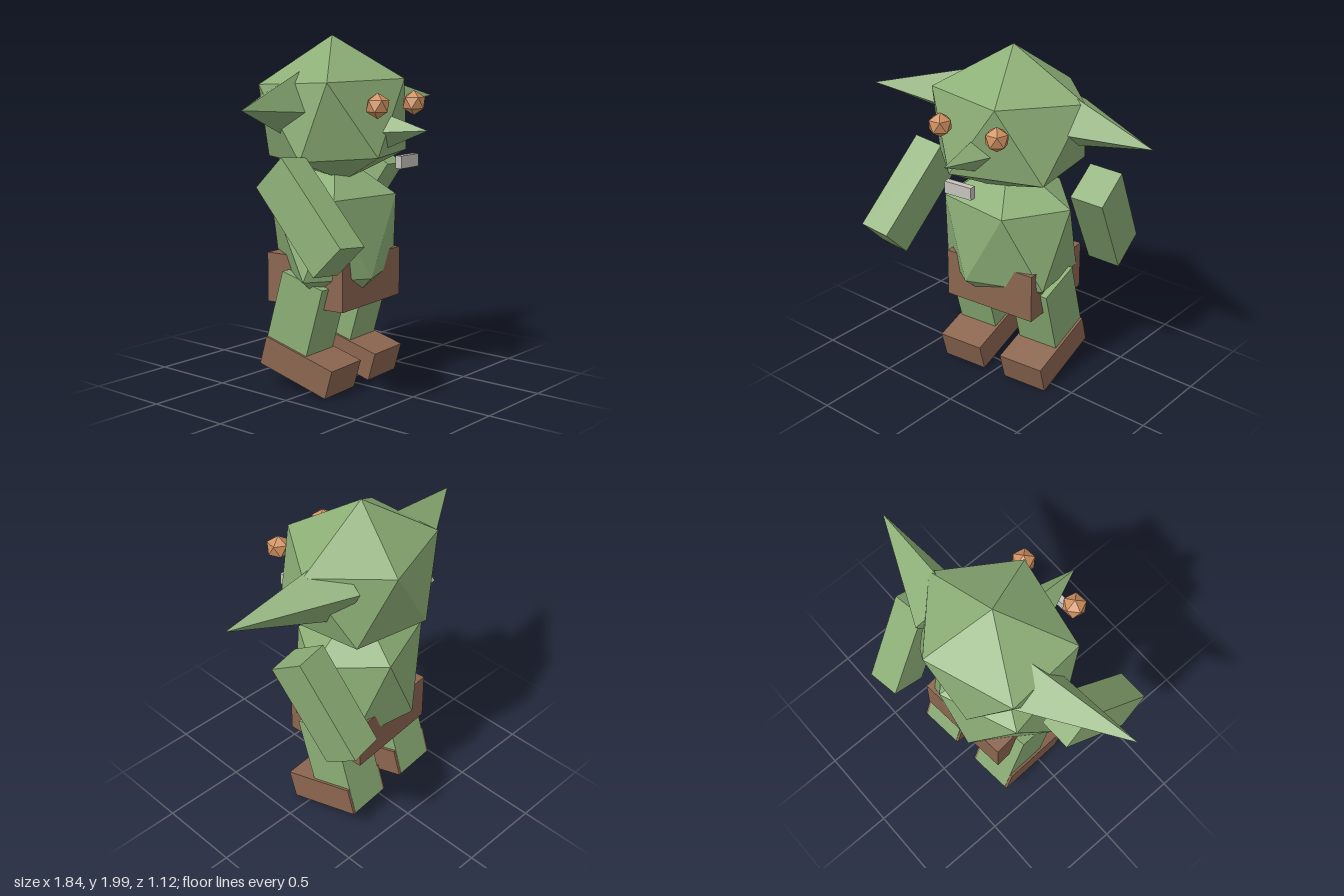
import * as THREE from 'three';

const mat = (name, color) => {
  const m = new THREE.MeshStandardMaterial({ color });
  m.name = name;
  return m;
};

// Irregular icosahedron: top point, two staggered rings of five, bottom point
function gem(top, upper, lower, bottom) {
  const pos = [];
  const face = (...pts) => pts.forEach((p) => pos.push(...p));
  for (let i = 0; i < 5; i++) {
    const j = (i + 1) % 5;
    face(top, upper[j], upper[i]);
    face(upper[i], upper[j], lower[i]);
    face(upper[j], lower[j], lower[i]);
    face(lower[i], lower[j], bottom);
  }
  const g = new THREE.BufferGeometry();
  g.setAttribute('position', new THREE.Float32BufferAttribute(pos, 3));
  g.computeVertexNormals();
  return g;
}

// Four-sided spike from the centre of its base to its tip
function spike(base, tip, radius) {
  const a = new THREE.Vector3(...base);
  const dir = new THREE.Vector3(...tip).sub(a);
  const len = dir.length();
  const g = new THREE.ConeGeometry(radius, len, 4).toNonIndexed();
  g.computeVertexNormals();
  g.translate(0, len / 2, 0);
  g.applyQuaternion(new THREE.Quaternion().setFromUnitVectors(new THREE.Vector3(0, 1, 0), dir.normalize()));
  return g.translate(a.x, a.y, a.z);
}

export function createModel() {
  const model = new THREE.Group();
  model.name = 'goblin';
  const skin = mat('green skin', 0x8cae76);
  const leather = mat('brown leather', 0x8b6650);
  const amber = mat('amber eyes', 0xcf9060);
  const ivory = mat('grey teeth', 0xc6c2bc);

  // The figure is turned slightly to its left
  const figure = new THREE.Group();
  figure.name = 'figure';
  figure.rotation.y = 0.088;
  model.add(figure);

  const add = (parent, name, geometry, material, x = 0, y = 0, z = 0) => {
    const m = new THREE.Mesh(geometry, material);
    m.name = name;
    m.position.set(x, y, z);
    parent.add(m);
    return m;
  };
  const box = (w, h, d) => new THREE.BoxGeometry(w, h, d);

  // Head and torso, with uneven corners
  add(model, 'head', gem(
    [-0.01, 2.0, -0.08],
    [[0.1, 1.73, -0.455], [0.45, 1.745, -0.12], [0.17, 1.76, 0.295], [-0.37, 1.75, 0.19], [-0.4, 1.73, -0.28]],
    [[0.29, 1.33, -0.35], [0.385, 1.34, 0.15], [-0.12, 1.34, 0.34], [-0.445, 1.325, 0.06], [-0.18, 1.31, -0.415]],
    [-0.05, 1.19, 0.04]), skin);
  add(model, 'torso', gem(
    [-0.02, 1.35, -0.05],
    [[0.08, 1.12, -0.4], [0.385, 1.115, -0.1], [0.17, 1.11, 0.24], [-0.3, 1.11, 0.18], [-0.37, 1.11, -0.22]],
    [[0.28, 0.66, -0.31], [0.345, 0.66, 0.09], [-0.08, 0.66, 0.265], [-0.41, 0.66, 0.05], [-0.13, 0.67, -0.385]],
    [-0.03, 0.4, -0.03]), skin);

  // Nose, mouth and shorts
  add(figure, 'nose', spike([0, 1.475, 0.27], [-0.007, 1.49, 0.553], 0.1), skin);
  add(figure, 'teeth', box(0.175, 0.07, 0.038), ivory, -0.005, 1.32, 0.422);
  add(figure, 'shorts', box(0.585, 0.285, 0.52), leather, 0.01, 0.632, -0.075);

  // Icosahedral eyeballs standing on a point
  const eye = new THREE.IcosahedronGeometry(0.07, 0).rotateZ(-0.5536).rotateY(Math.PI / 2);

  for (const s of [1, -1]) {
    const side = s > 0 ? 'left' : 'right';
    add(figure, side + 'Ear', spike([s * 0.26, 1.625, -0.15], [s * 0.925, 1.627, 0.02], 0.195), skin);
    add(figure, side + 'Eye', eye, amber, s * 0.185, 1.625, 0.346);

    // Arms swing in opposite directions
    const arm = add(figure, side + 'Arm', box(0.195, 0.61, 0.24), skin,
      s > 0 ? 0.503 : -0.555, s > 0 ? 1.035 : 1.06, s > 0 ? -0.255 : 0.165);
    arm.rotation.set(s > 0 ? 0.56 : -0.785, 0, s > 0 ? -0.1 : -0.12);

    // Leg and foot lean forward together
    const leg = new THREE.Group();
    leg.name = side + 'LegAndFoot';
    leg.position.set(s * 0.216, 0.155, -0.085);
    leg.rotation.x = 0.28;
    add(leg, side + 'Leg', box(0.255, 0.57, 0.285), skin, 0, 0.204, -0.098);
    add(leg, side + 'Foot', box(0.285, 0.17, 0.475), leather);
    figure.add(leg);
  }
  return model;
}
